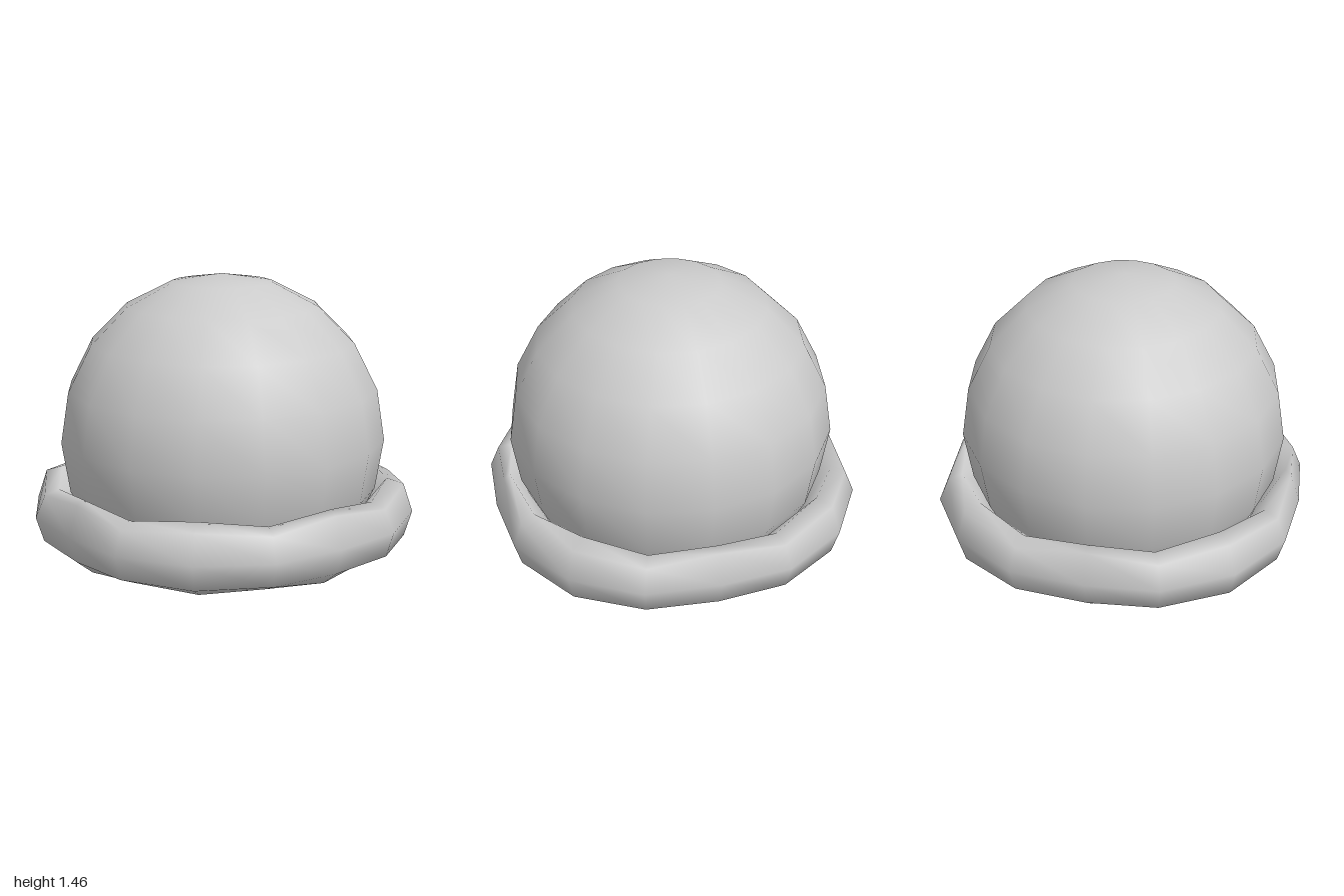
import * as THREE from 'three';

const SIDES = 16;

export function createModel() {
  const group = new THREE.Group();
  const material = new THREE.MeshStandardMaterial({ color: 0xcccccc, side: THREE.DoubleSide });

  // Round dome, open where it sinks into the rim
  const dome = new THREE.Mesh(
    new THREE.SphereGeometry(0.861, SIDES, 7, Math.PI / SIDES, Math.PI * 2, 0, Math.PI * 0.7),
    material
  );
  dome.name = 'dome';
  dome.position.y = 0.6;
  group.add(dome);

  // Lumpy rolled rim with a closed underside
  const rim = new THREE.Mesh(rimGeometry(), material);
  rim.name = 'rolledRim';
  group.add(rim);

  return group;
}

// Loops around the rim; the lumps repeat every quarter turn
function rimGeometry() {
  const lumps = [
    { angle: -11.9, reach: 1.02, top: 0.388, low: 0 },
    { angle: 10.9, reach: 1.008, top: 0.357, low: 0.02 },
    { angle: 32.7, reach: 0.963, top: 0.397, low: 0 },
    { angle: 55.5, reach: 1.007, top: 0.357, low: 0.022 },
  ];
  const positions = [];
  const index = [];
  const LOOPS = 6;

  for (let i = 0; i < SIDES; i++) {
    const { angle, reach, top, low } = lumps[i % 4];
    const a = THREE.MathUtils.degToRad(angle + 90 * Math.floor(i / 4));
    // Cross-section from the inside, over the top and down to the underside
    const section = [
      [0.79, 0.27],
      [0.88, top],
      [reach - 0.05, top - 0.028],
      [reach, 0.21],
      [reach - 0.04, 0.075 + low * 0.3],
      [0.83, low],
    ];
    for (const [r, y] of section) positions.push(r * Math.cos(a), y, r * Math.sin(a));
  }
  const centre = SIDES * LOOPS;
  positions.push(0, 0.02, 0);

  for (let i = 0; i < SIDES; i++) {
    const p = i * LOOPS;
    const q = ((i + 1) % SIDES) * LOOPS;
    for (let j = 0; j < LOOPS - 1; j++) {
      index.push(p + j, q + j, p + j + 1, q + j, q + j + 1, p + j + 1);
    }
    index.push(p + LOOPS - 1, q + LOOPS - 1, centre);
  }

  const geometry = new THREE.BufferGeometry();
  geometry.setAttribute('position', new THREE.Float32BufferAttribute(positions, 3));
  geometry.setIndex(index);
  geometry.computeVertexNormals();
  return geometry;
}
